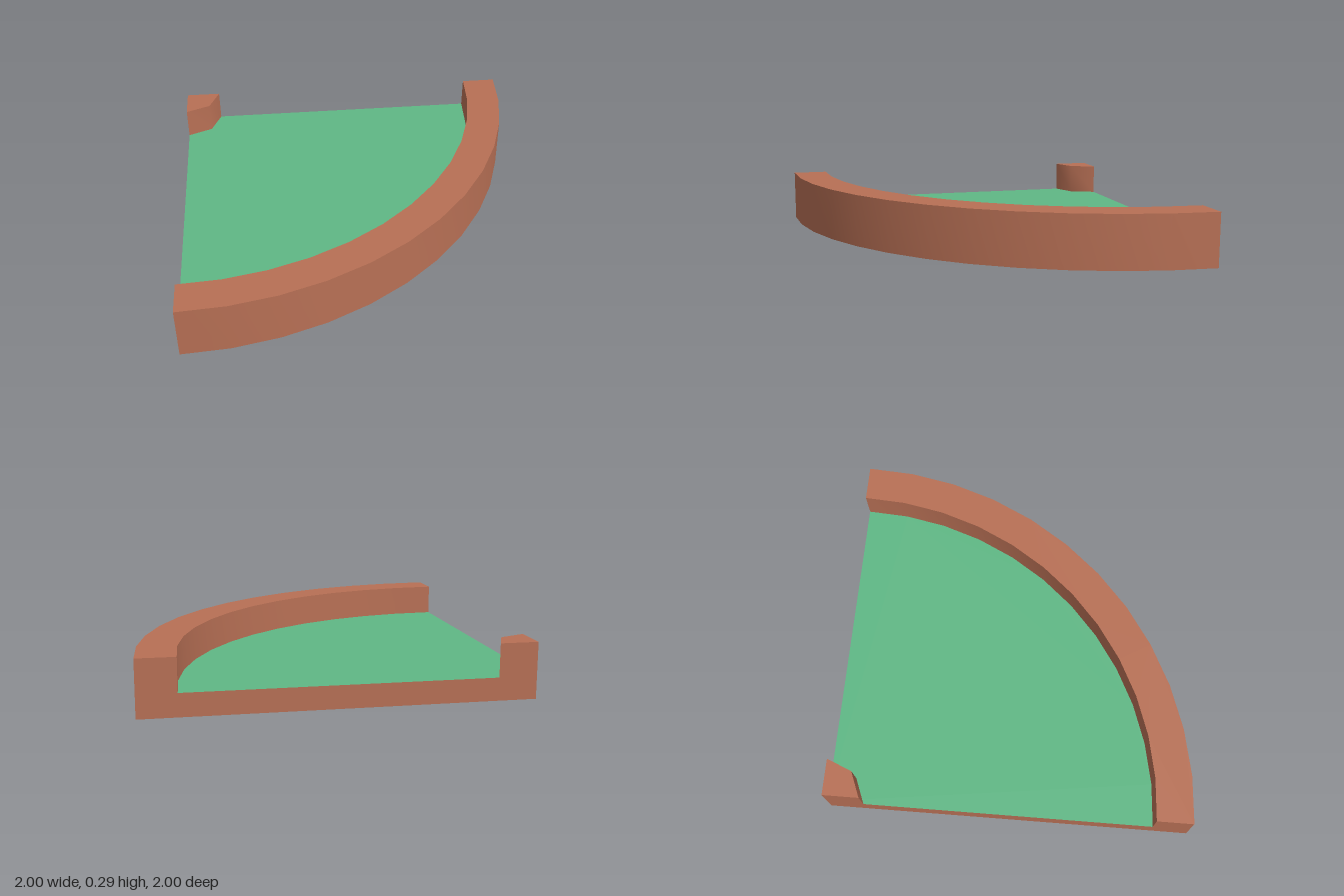
import * as THREE from 'three';
import { toCreasedNormals } from 'three/addons/utils/BufferGeometryUtils.js';

const HEIGHT = 0.295, FLOOR = 0.12, OUTER = 2, INNER = 1.8, POST = 0.2;

// Points of a quarter arc around the origin
function arc(radius, segments) {
  return Array.from({ length: segments + 1 }, (_, i) => {
    const a = (i / segments) * Math.PI / 2;
    return new THREE.Vector2(radius * Math.cos(a), radius * Math.sin(a));
  });
}

// Raise a plan outline from y0 to y1, with the arc centre in the back right corner
function slab(points, y0, y1) {
  const geo = new THREE.ExtrudeGeometry(new THREE.Shape(points), { depth: y1 - y0, bevelEnabled: false });
  geo.rotateX(Math.PI / 2).translate(-1, y1, -1);
  return toCreasedNormals(geo, 1);
}

export function createModel() {
  const wood = new THREE.MeshStandardMaterial({ color: 0xb87055 });
  wood.name = 'brownWood';
  const turf = new THREE.MeshStandardMaterial({ color: 0x5fb885 });
  turf.name = 'greenTurf';

  const model = new THREE.Group();
  model.name = 'roundedCornerTile';
  const add = (name, geometry, material) => {
    const mesh = new THREE.Mesh(geometry, material);
    mesh.name = name;
    model.add(mesh);
  };
  const centre = new THREE.Vector2(0, 0);

  // Floor: turf on the upper face, wood on the underside and edges
  const floor = slab([centre, ...arc(INNER, 12)], 0, FLOOR);
  const total = floor.attributes.position.count;
  const top = floor.groups[0].count / 2;
  floor.clearGroups();
  floor.addGroup(0, top, 0);
  floor.addGroup(top, total - top, 1);
  add('floor', floor, [turf, wood]);

  // Curved outer wall
  add('curvedWall', slab([...arc(OUTER, 12), ...arc(INNER, 12).reverse()], 0, HEIGHT), wood);

  // Small post on the inside corner
  add('cornerPost', slab([centre, ...arc(POST, 2)], FLOOR, HEIGHT), wood);

  return model;
}
